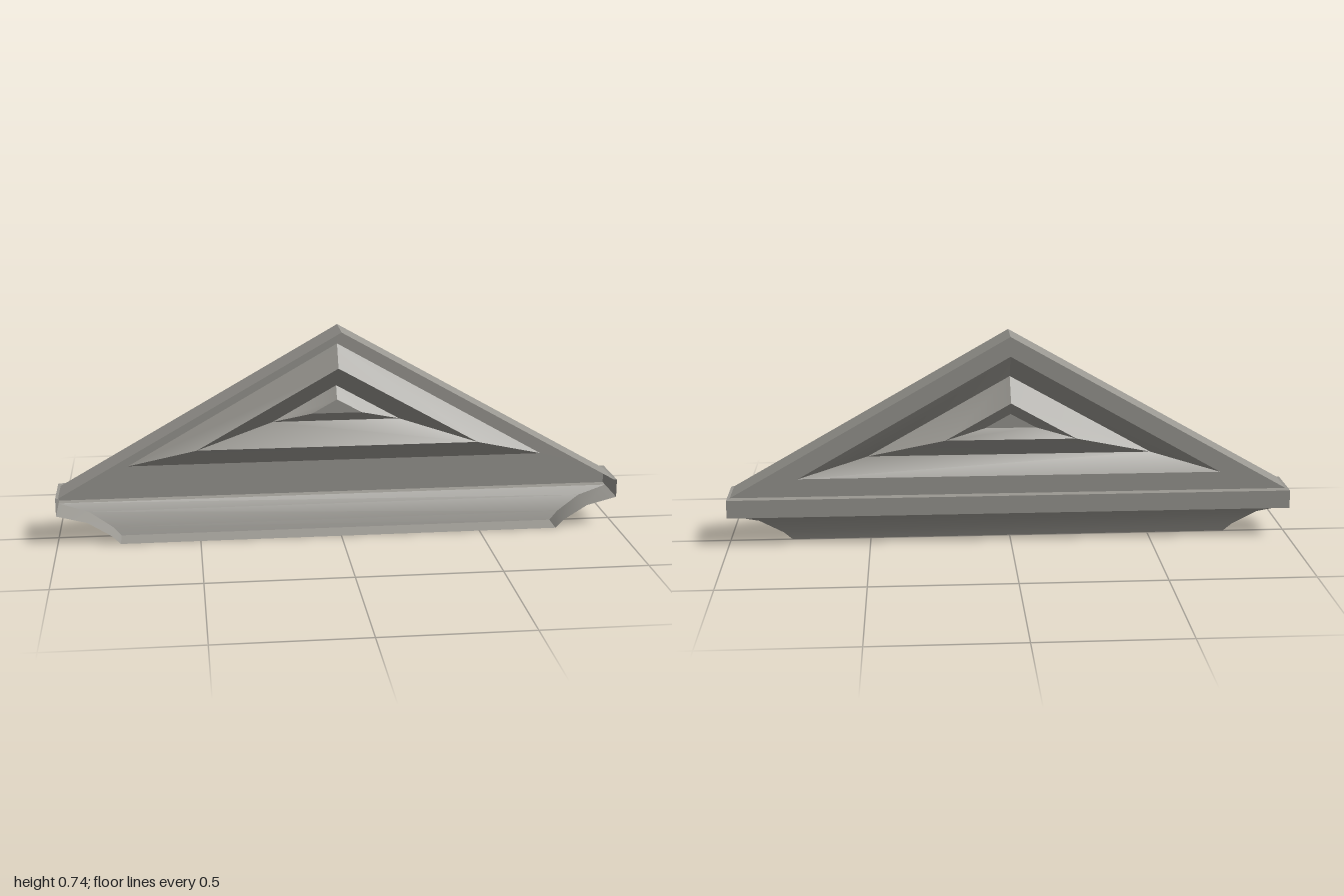
import * as THREE from 'three';
import { toCreasedNormals } from 'three/addons/utils/BufferGeometryUtils.js';

const FRONT = 0.09;   // open mounting side
const FACE = -0.055;  // plane of the decorated face

// Skin a list of cross-sections; "closed" joins the last point to the first.
function loft(rings, closed = false, cap = false) {
  const pos = [];
  const tri = (...pts) => pts.forEach((p) => pos.push(...p));
  const n = rings[0].length;
  for (let i = 0; i < rings.length - 1; i++) {
    for (let j = 0; j < (closed ? n : n - 1); j++) {
      const k = (j + 1) % n;
      const [a, b, c, d] = [rings[i][j], rings[i][k], rings[i + 1][k], rings[i + 1][j]];
      tri(a, b, c);
      tri(a, c, d);
    }
  }
  if (cap) tri(...rings[rings.length - 1]);
  const g = new THREE.BufferGeometry();
  g.setAttribute('position', new THREE.Float32BufferAttribute(pos, 3));
  return toCreasedNormals(g, 0.55);
}

// Triangle outline: half width, base height, apex height, depth
const triangle = (w, base, apex, z) => [[w, base, z], [-w, base, z], [0, apex, z]];

// Three-sided outline running around the ends and back at one height
const surround = (w, y, z) => [[w, y, FRONT], [w, y, z], [-w, y, z], [-w, y, FRONT]];

export function createModel() {
  const group = new THREE.Group();
  group.name = 'pediment';
  const stone = new THREE.MeshStandardMaterial({ color: 0x9a9892, side: THREE.DoubleSide });
  stone.name = 'grey stone';

  const add = (name, geometry) => {
    const mesh = new THREE.Mesh(geometry, stone);
    mesh.name = name;
    group.add(mesh);
  };

  // Sloping roof sides
  const slope = (z) => [[-0.99, 0.175, z], [0, 0.74, z], [0.99, 0.175, z]];
  add('gableSlopes', loft([slope(FRONT), slope(FACE)]));

  // Flat border, sunken bevel, raised panel and its sunken centre
  add('gablePanel', loft([
    triangle(0.99, 0.175, 0.74, FACE),
    triangle(0.75, 0.24, 0.67, FACE),
    triangle(0.505, 0.305, 0.59, -0.005),
    triangle(0.23, 0.38, 0.51, -0.085),
    triangle(0.09, 0.415, 0.465, FACE),
  ], true, true));

  // Projecting ledge with its upper and lower returns
  add('ledge', loft([
    surround(1, 0.11, FACE),
    surround(1, 0.11, -0.087),
    surround(1, 0.175, -0.087),
    surround(0.99, 0.175, FACE),
  ]));

  // Concave moulding under the ledge
  add('coveMoulding', loft([
    surround(0.78, 0, 0),
    surround(0.81, 0.03, -0.01),
    surround(0.893, 0.082, -0.032),
    surround(1, 0.11, FACE),
  ]));

  // Flat underside
  add('underside', loft([
    [[0.78, 0, FRONT], [-0.78, 0, FRONT]],
    [[0.78, 0, 0], [-0.78, 0, 0]],
  ]));

  return group;
}
